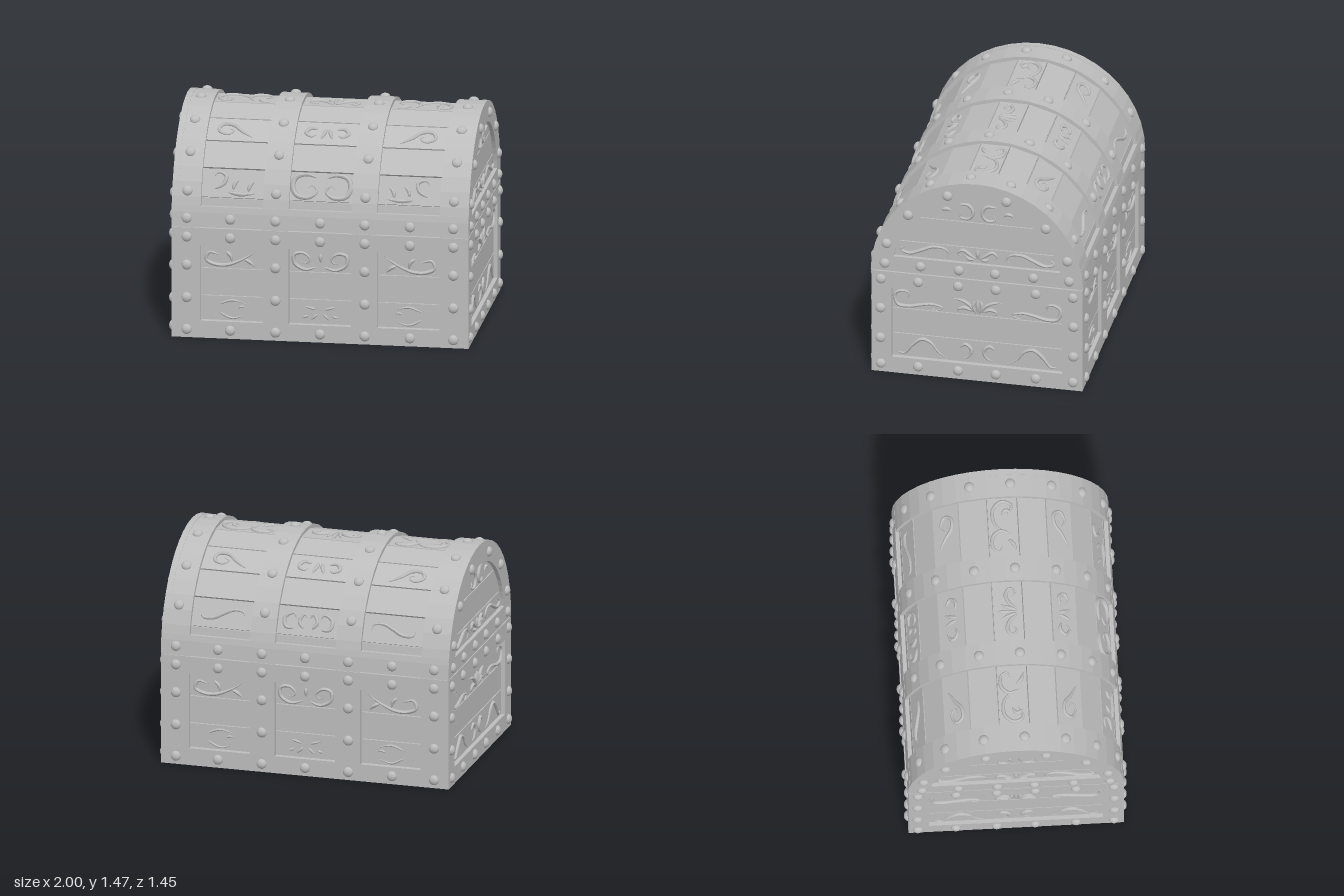
import * as THREE from 'three';

const stone = new THREE.MeshStandardMaterial({ color: 0xbcbcbc });
stone.name = 'plain grey';
const SEAM = 0.745, RIM = 0.705, HX = 0.975, HZ = 0.7;
const rad = THREE.MathUtils.degToRad;

function add(parent, name, geometry, x = 0, y = 0, z = 0) {
  const mesh = new THREE.Mesh(geometry, stone);
  mesh.name = name;
  mesh.position.set(x, y, z);
  parent.add(mesh);
  return mesh;
}
function box(parent, name, w, h, d, x, y, z) {
  return add(parent, name, new THREE.BoxGeometry(w, h, d), x, y, z);
}
function group(parent, name, x = 0, y = 0, z = 0, ry = 0) {
  const g = new THREE.Group();
  g.name = name;
  g.position.set(x, y, z);
  g.rotation.y = ry;
  parent.add(g);
  return g;
}
const extrude = (shape, depth) => new THREE.ExtrudeGeometry(shape, { depth, bevelEnabled: false });
const shapeOf = (pts) => new THREE.Shape(pts.map(([x, y]) => new THREE.Vector2(x, y)));
const rect = (x0, y0, x1, y1) => [[x0, y0], [x1, y0], [x1, y1], [x0, y1]];
const arc = (r, a0, a1, n) => Array.from({ length: n + 1 }, (_, i) => {
  const a = rad(a0 + (a1 - a0) * i / n);
  return [r * Math.cos(a), r * Math.sin(a)];
});
// Extrusion of a cross-section, centred at x and running along x
function alongX(parent, name, pts, length, x) {
  const g = extrude(shapeOf(pts), length);
  g.translate(0, 0, -length / 2);
  g.rotateY(-Math.PI / 2);
  return add(parent, name, g, x, SEAM, 0);
}

// Carved strokes in hundredths; "pair" strokes are mirrored about the motif's middle
const CURL = { one: [[9.6, 6, 2, 1, -4, -4, -11, -4, -13, 1, -7, 4, -3, 1, -7, -1]] };
const SWOOSH = { one: [[-8, 1.5, -15, 3, -17, -2, -11, -5, -3, -5, 5, -2, 12, 2, 16, 5], [-4, 4, -1, 1, 0, -3], [8, -1, 12, -3, 15, -6]] };
const SPIRALS = { pair: [[2, -4, 10, -6, 17, -2, 17, 4, 11, 5, 7, 1, 10, -2, 13, 0]], one: [[0, 5, 0, 2, 0, -1]] };
const EYE = { w: 0.008, one: [[-9, 3, 0, 6, 9, 4], [-9, -2, 0, -6, 8, -4], [4, 1, 7, 2, 9, 1]] };
const PETALS = { w: 0.009, pair: [[2, -1, 4, -3, 6, -5], [3, 2, 6, 3, 10, 4], [8, -2, 10, -3, 12, -3]] };
const SPROUT = { one: [[-12, -4, -6, 0, -5, 5, -10, 7, -13, 4], [-3, -6, 6, -7, 15, -6], [0, -4, 1, 0, 4, 3], [10, -5, 11, -1, 14, 2]] };
const BIG_C = { w: 0.017, pair: [[3, 6, 10, 8, 17, 6, 19, 0, 16, -6, 8, -7, 3, -3, 6, 1, 9, -1]] };
const MOTH = { pair: [[1, -4, 2, 0, 4, 5], [6, -3, 11, -4, 14, 0, 10, 3, 7, 1]] };
const FERN = { one: [[-8, -3, -15, -6, -18, 0, -13, 6, -4, 6, 2, 1, 5, -6], [4, -4, 2, 2, 6, 7, 14, 7, 16, 3, 12, 1], [-10, -6, -12, -2, -8, 1], [8, -3, 11, -6, 16, -8]] };
const FLEUR = { pair: [[2, -6, 6, -1, 12, 1, 16, -2, 13, -5, 10, -3], [1, -6, 3, 0, 5, 5]], one: [[0, 7, 0, 1, 0, -6]] };
const WAVE = { one: [[-15, 0, -13, 3, -6, 3, 0, 0, 7, -3, 14, -2, 15, 2]] };
const SWIRLS = { pair: [[3, 5, 6, 0, 3, -5, 1, -2], [9, 5, 15, 4, 16, -2, 10, -5, 8, -1]] };
const SIDE_TOP = {
  pair: [[-46, 1, -46, 5, -51, 6, -55, 3, -53, -4, -46, -5, -37, -3, -30, -2, -23, -4, -28, -6.5, -31, -4],
    [2, -5, 5, 0, 10, 3, 16, 4], [3, -4, 9, -2, 13, -4, 11, -6], [2, 4, 3, 0, 1, -6]],
  one: [[0, 5, 0, 0, 0, -6]],
};
const SIDE_LOW = { pair: [[-53, -5, -49, -6, -43, 1, -37, 5.5, -31, 3.5, -26, -3, -20, -7], [-12, 2, -8, 5, -4, 1, -6, -4, -10, -6]] };
const GABLE_LOW = {
  pair: [[-48, 2, -51, -1, -45, -3, -37, 0, -30, 3, -22, 2.5, -19, -1, -22, -4], [1, -3, 5, 0, 10, 3, 13, 0, 10, -2], [2, -3, 6, -3, 8, -1]],
  one: [[0, 4, 0, 0, 0, -3]],
};
const GABLE_TOP = { pair: [[-24, 0, -20, 1, -17, -1], [-13, 5, -6, 5, -3, 0, -6, -5, -12, -4, -10, 0]] };

// Tapered, slightly flattened tube through a flat path
function stroke(parent, nums, w, sx, sy) {
  const pts = [];
  for (let i = 0; i < nums.length; i += 2) pts.push(new THREE.Vector3(nums[i] * sx / 100, nums[i + 1] * sy / 100, 0));
  const curve = new THREE.CatmullRomCurve3(pts), n = pts.length * 4, sides = 8;
  const g = new THREE.TubeGeometry(curve, n, 1, sides);
  const p = g.attributes.position, v = new THREE.Vector3();
  for (let i = 0; i <= n; i++) {
    const c = curve.getPointAt(i / n);
    const r = w * Math.max(0.05, Math.pow(Math.max(0, Math.sin(Math.PI * Math.pow(i / n, 0.75))), 0.7));
    for (let j = 0; j <= sides; j++) {
      const k = i * (sides + 1) + j;
      v.fromBufferAttribute(p, k).sub(c).multiplyScalar(r).add(c);
      p.setXYZ(k, v.x, v.y, v.z);
    }
  }
  g.computeVertexNormals();
  add(parent, 'carvedScroll', g);
}
function carve(parent, motif, x, y, sx = 1, sy = 1) {
  const g = group(parent, 'carving', x, y, 0), w = motif.w || 0.013;
  for (const s of motif.one || []) stroke(g, s, w, sx, sy);
  for (const s of motif.pair || []) for (const m of [1, -1]) stroke(g, s, w, m, sy);
}

const studGeo = new THREE.SphereGeometry(0.034, 16, 5, 0, Math.PI * 2, 0, Math.PI / 2);
studGeo.scale(1, 0.72, 1);
function stud(parent, x, y, z, nx, ny, nz) {
  const m = add(parent, 'stud', studGeo, x, y, z);
  m.quaternion.setFromUnitVectors(new THREE.Vector3(0, 1, 0), new THREE.Vector3(nx, ny, nz).normalize());
}

const ROWS = [[0.115, 0.285], [0.285, 0.47], [0.47, 0.625]];
const COLUMNS = [-0.58, 0, 0.58];
const STUD_X = [-0.875, -0.59, -0.293, 0, 0.293, 0.59, 0.875];
const POST_X = [-0.875, -0.293, 0.293, 0.875];
const STUD_Z = [-0.637, -0.39, -0.125, 0.125, 0.39, 0.637];

// Long wall: framed with three windows, planks behind, carvings and studs
function longWall(parent, name, ry) {
  const wall = group(parent, name, 0, 0, 0, ry);
  const shape = shapeOf(rect(-HX, 0, HX, SEAM - 0.004));
  for (const c of COLUMNS) shape.holes.push(shapeOf(rect(c - 0.205, 0.115, c + 0.205, 0.625)));
  add(wall, 'wallFrame', extrude(shape, 0.04), 0, 0, HZ - 0.04);
  for (const [a, b] of ROWS) box(wall, 'wallPlank', 1.8, b - a - 0.008, 0.03, 0, (a + b) / 2, 0.66);
  const panel = group(wall, 'wallCarvings', 0, 0, 0.677);
  COLUMNS.forEach((c, i) => {
    carve(panel, i === 1 ? SPIRALS : SWOOSH, c, 0.545, i === 2 ? -1 : 1);
    carve(panel, i === 1 ? PETALS : EYE, c, 0.195, i === 2 ? -1 : 1);
  });
  for (const y of [0.055, 0.68]) for (const x of STUD_X) stud(wall, x, y, HZ, 0, 0, 1);
  for (const y of [0.27, 0.49]) for (const x of POST_X) stud(wall, x, y, HZ, 0, 0, 1);
}

// End wall of the body and the arched gable of the lid above it
function endWall(parent, name, ry) {
  const wall = group(parent, name, 0, 0, 0, ry);
  const shape = shapeOf(rect(-HZ + 0.001, 0, HZ - 0.001, SEAM - 0.004));
  shape.holes.push(shapeOf(rect(-0.565, 0.115, 0.565, 0.625)));
  add(wall, 'endFrame', extrude(shape, 0.04), 0, 0, HX - 0.04);
  for (const [a, b] of ROWS) box(wall, 'endPlank', 1.24, b - a - 0.008, 0.03, 0, (a + b) / 2, 0.935);

  const gable = shapeOf(arc(RIM - 0.001, 0, 180, 22));
  gable.holes.push(shapeOf(arc(0.565, 11.2, 168.8, 28)));
  add(wall, 'gableFrame', extrude(gable, 0.04), 0, SEAM + 0.004, HX - 0.04);
  for (const [a, b, half] of [[0.8, 0.97, 0.58], [0.97, 1.155, 0.53], [1.155, 1.312, 0.39]])
    box(wall, 'gablePlank', half * 2, b - a - 0.008, 0.03, 0, (a + b) / 2, 0.935);

  const panel = group(wall, 'endCarvings', 0, 0, 0.952);
  carve(panel, SIDE_TOP, 0, 0.54);
  carve(panel, SIDE_LOW, 0, 0.2);
  carve(panel, GABLE_LOW, 0, 0.915);
  carve(panel, GABLE_TOP, 0, 1.23);
  for (const y of [0.06, 0.685, 0.803]) for (const z of STUD_Z) stud(wall, y > 0.8 ? z * 0.96 : z, y, HX, 0, 0, 1);
  for (const s of [-1, 1])
    for (const [z, y] of [[0.64, 0.25], [0.64, 0.47], [0.6, 0.95], [0.457, 1.175], [0.196, 1.345]])
      stud(wall, s * z, y, HX, 0, 0, 1);
}

function lidTop(parent) {
  const lid = group(parent, 'lid');
  alongX(lid, 'lidCore', arc(0.665, 0, 180, 11), 1.88, 0);
  // Raised bands over the arch
  const ring = [...arc(RIM, 0, 180, 22), ...arc(0.66, 180, 0, 22)];
  for (const s of [-1, 1]) {
    alongX(lid, 'endBand', ring, 0.189, s * 0.879);
    alongX(lid, 'middleBand', ring, 0.17, s * 0.29);
    // Lower rim along the front and back
    const strip = [[RIM, 0.004], ...arc(RIM, 8.18, 11.5, 1), [0.64, 0.14], [0.64, 0.004]].map(([z, y]) => [z * s, y]);
    alongX(lid, 'lidRim', strip, 1.94, 0);
  }
  // Eleven flat planks, every second one carved
  const step = 180 / 11, width = 2 * 0.685 * Math.sin(rad(step / 2));
  const sideMotif = [SPROUT, CURL, FERN, CURL, WAVE], midMotif = [BIG_C, MOTH, FLEUR, MOTH, SWIRLS];
  for (let i = 0; i < 11; i++) {
    const pivot = group(lid, 'lidPlankRow', 0, SEAM, 0);
    pivot.rotation.x = -rad((i + 0.5) * step);
    box(pivot, 'lidPlank', 1.85, width - 0.008, 0.03, 0, 0, 0.663);
    if (i % 2 === 0) continue;
    const k = (i - 1) / 2, panel = group(pivot, 'lidCarvings', 0, 0, 0.68);
    COLUMNS.forEach((c, j) => carve(panel, j === 1 ? midMotif[k] : sideMotif[k], c, 0, j === 2 ? -1 : 1, k === 1 ? -1 : 1));
  }
  // Studs on the bands and the rim
  for (const a of [5, 19.6, 41, 62, 85, 107, 130.5, 153, 175]) {
    const c = Math.cos(rad(a)), s = Math.sin(rad(a));
    for (const x of a === 5 || a === 175 ? STUD_X : POST_X) stud(lid, x, SEAM + 0.702 * s, 0.702 * c, 0, s, c);
  }
}

export function createModel() {
  const chest = new THREE.Group();
  chest.name = 'chest';
  box(chest, 'bodyCore', 1.88, 0.735, 1.32, 0, 0.3875, 0);
  for (let i = 0; i < 8; i++)
    box(chest, 'floorPlank', 1.88, 0.03, 0.157, 0, 0.023, (i - 3.5) * 0.165);
  longWall(chest, 'frontWall', 0);
  longWall(chest, 'backWall', Math.PI);
  endWall(chest, 'leftWall', Math.PI / 2);
  endWall(chest, 'rightWall', -Math.PI / 2);
  lidTop(chest);
  return chest;
}
